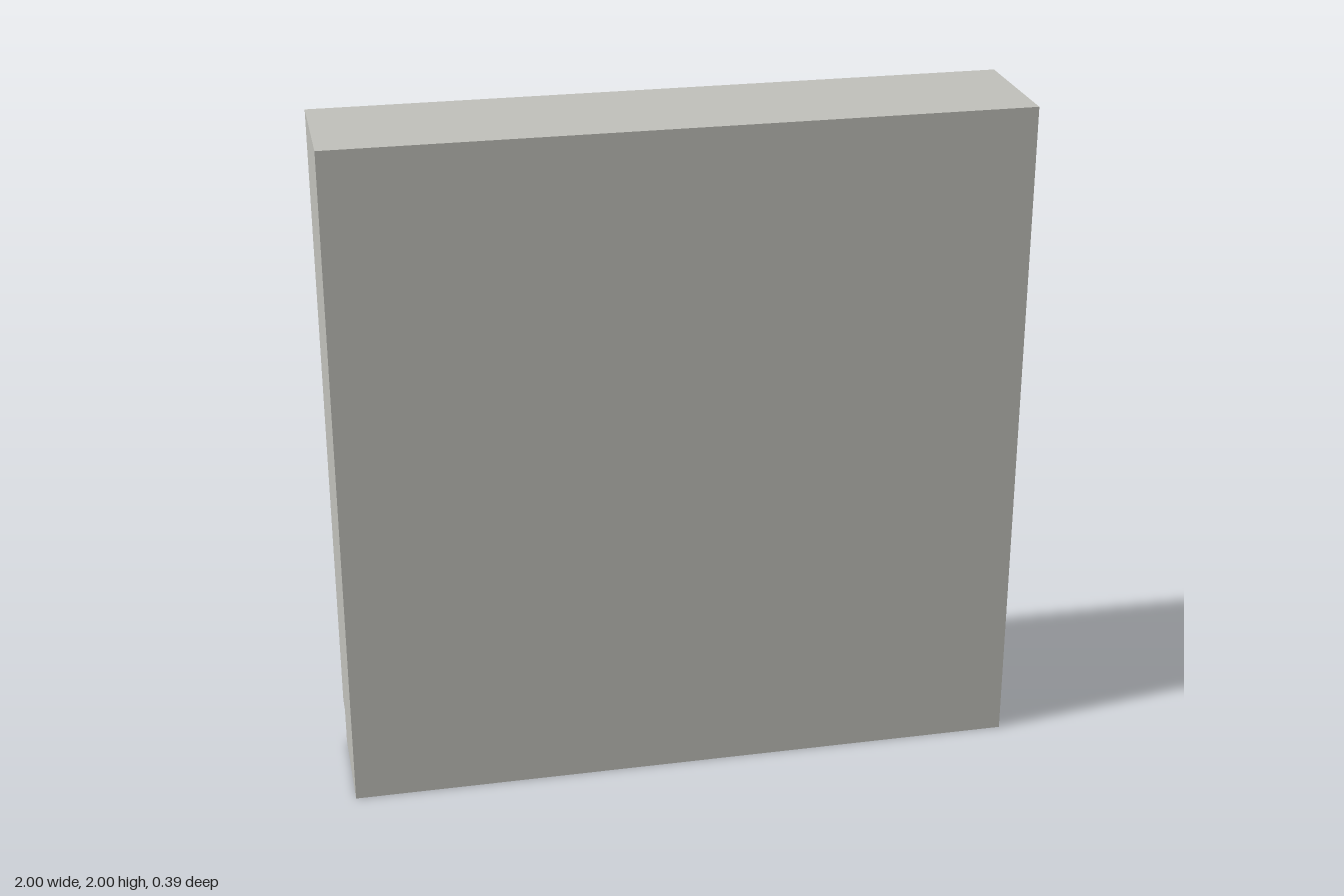
import * as THREE from 'three';

export function createModel() {
  const model = new THREE.Group();
  const grey = new THREE.MeshStandardMaterial({ color: 0xc0c0ba });
  grey.name = 'warm grey board';

  const T = 0.018;               // board thickness
  const D = 0.195;               // half depth
  const PLINTH = 0.113;          // plinth height
  const PLINTH_Z = -0.135;       // rear face of the plinth
  const CELLS = 6;
  const GAP = 0.025;             // clearance above and below the dividers

  // Box given by its minimum and maximum corners
  function board(name, [x0, y0, z0], [x1, y1, z1]) {
    const mesh = new THREE.Mesh(new THREE.BoxGeometry(x1 - x0, y1 - y0, z1 - z0), grey);
    mesh.position.set((x0 + x1) / 2, (y0 + y1) / 2, (z0 + z1) / 2);
    mesh.name = name;
    model.add(mesh);
  }

  const inner = 1 - T;
  const zIn = D - T;

  // Closed front face
  board('frontPanel', [-1, 0, zIn], [1, 2, D]);

  // Side panels, notched above the plinth
  const profile = new THREE.Shape([
    [-zIn, 0], [-PLINTH_Z, 0], [-PLINTH_Z, PLINTH], [D, PLINTH], [D, 2], [-zIn, 2],
  ].map(([x, y]) => new THREE.Vector2(x, y)));
  const sideGeometry = new THREE.ExtrudeGeometry(profile, { depth: T, bevelEnabled: false });
  sideGeometry.rotateY(Math.PI / 2);   // profile x becomes -z, depth becomes +x
  for (const [name, x] of [['leftSide', inner], ['rightSide', -1]]) {
    const side = new THREE.Mesh(sideGeometry, grey);
    side.position.x = x;
    side.name = name;
    model.add(side);
  }

  // Plinth, bottom and top
  board('plinth', [-inner, 0, PLINTH_Z], [inner, PLINTH, zIn]);
  board('bottomPanel', [-inner, PLINTH, -D], [inner, PLINTH + T, zIn]);
  board('topPanel', [-inner, 2 - T, -D], [inner, 2, zIn]);

  // Pigeonhole grid: shelves, with upright pieces between them
  const pitchX = (2 - T) / CELLS;
  const pitchY = (2 - T - PLINTH) / CELLS;
  for (let row = 0; row < CELLS; row++) {
    const y = PLINTH + row * pitchY;
    if (row > 0) board('shelf', [-inner, y, -D], [inner, y + T, zIn]);
    const low = y + T + (row === 0 ? GAP : 0);
    const high = y + pitchY - (row === CELLS - 1 ? GAP : 0);
    for (let col = 1; col < CELLS; col++) {
      const x = -1 + col * pitchX;
      board('divider', [x, low, -D], [x + T, high, zIn]);
    }
  }
  return model;
}
